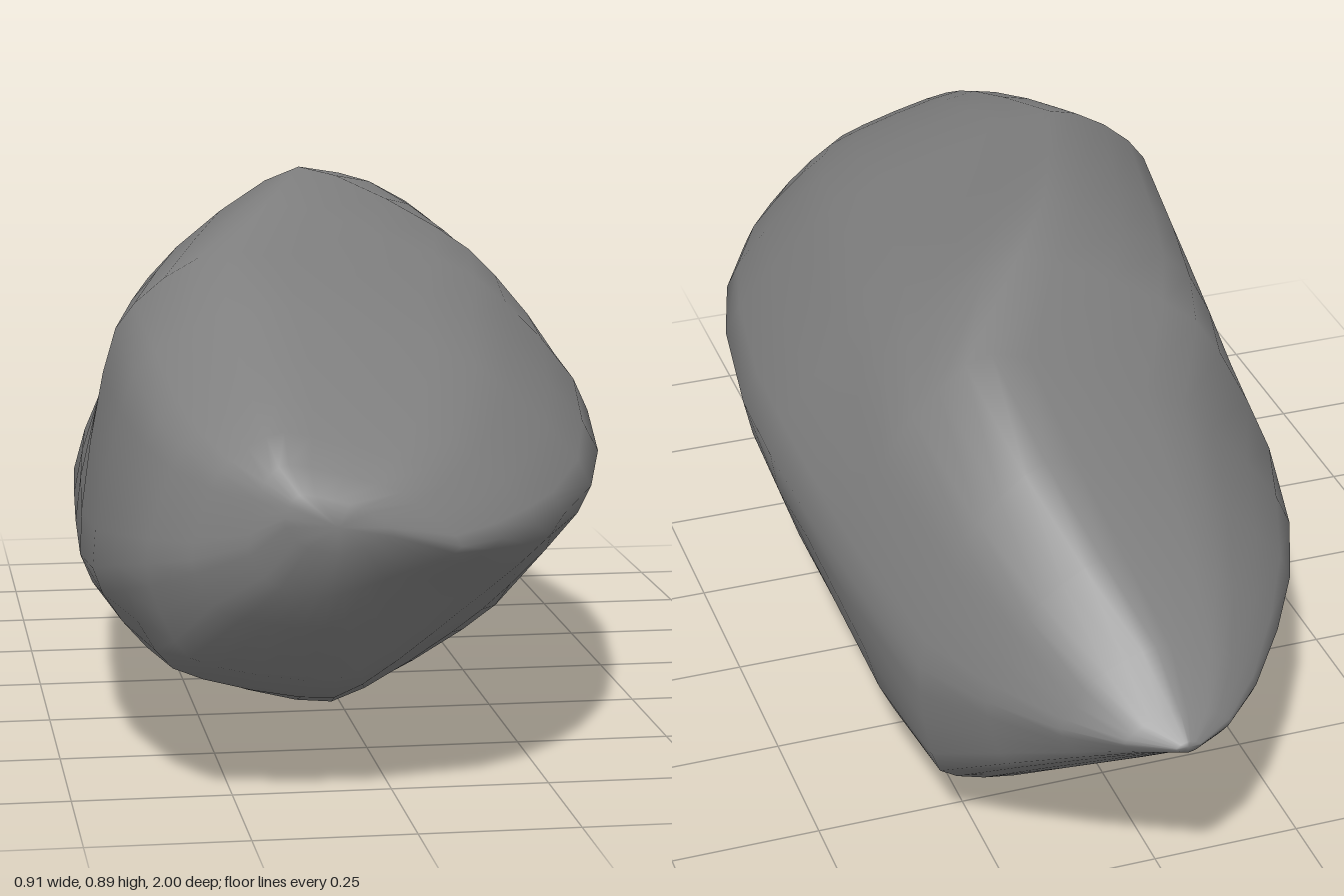
import * as THREE from 'three';

// Cross-sections from front to back:
// z, left edge x,y, right edge x,y, top x,y, bottom x,y (left/right as seen from the front)
const SECTIONS = [
  [1.0, -0.20, 0.48, -0.04, 0.46, -0.17, 0.52, -0.12, 0.43],
  [0.97, -0.25, 0.44, 0.07, 0.43, -0.19, 0.56, -0.13, 0.36],
  [0.92, -0.33, 0.41, 0.14, 0.43, -0.19, 0.60, -0.13, 0.30],
  [0.84, -0.39, 0.39, 0.21, 0.43, -0.19, 0.64, -0.10, 0.20],
  [0.75, -0.425, 0.37, 0.27, 0.43, -0.19, 0.68, -0.09, 0.15],
  [0.58, -0.45, 0.33, 0.35, 0.44, -0.19, 0.745, -0.07, 0.10],
  [0.38, -0.455, 0.31, 0.405, 0.46, -0.21, 0.805, -0.05, 0.05],
  [0.10, -0.442, 0.31, 0.448, 0.48, -0.11, 0.85, -0.03, 0.0],
  [-0.10, -0.43, 0.32, 0.455, 0.49, -0.03, 0.89, 0.0, 0.025],
  [-0.23, -0.42, 0.34, 0.442, 0.47, 0.06, 0.865, 0.03, 0.045],
  [-0.42, -0.36, 0.38, 0.415, 0.44, 0.17, 0.805, 0.08, 0.075],
  [-0.60, -0.285, 0.40, 0.352, 0.36, 0.14, 0.70, 0.15, 0.11],
  [-0.75, -0.20, 0.41, 0.29, 0.38, 0.10, 0.605, 0.12, 0.22],
  [-0.88, -0.11, 0.41, 0.215, 0.40, 0.06, 0.52, 0.08, 0.315],
  [-0.96, -0.035, 0.41, 0.14, 0.41, 0.05, 0.45, 0.05, 0.375],
  [-1.0, 0.03, 0.41, 0.07, 0.41, 0.05, 0.42, 0.05, 0.40],
];
// Fullness of the four shoulders of each section: 0 is a flat chamfer, 1 a square corner
const FULLNESS = {
  topRight: [0.3, 0.3, 0.3, 0.3, 0.3, 0.3, 0.3, 0.28, 0.25, 0.25, 0.3, 0.3, 0.3, 0.3, 0.3, 0.3],
  topLeft: [0.4, 0.4, 0.4, 0.42, 0.45, 0.48, 0.5, 0.4, 0.33, 0.32, 0.25, 0.25, 0.28, 0.3, 0.3, 0.3],
  bottomLeft: [0.4, 0.45, 0.5, 0.55, 0.5, 0.38, 0.32, 0.32, 0.34, 0.36, 0.36, 0.34, 0.32, 0.3, 0.3, 0.3],
  bottomRight: [0.2, 0.1, 0.05, 0.05, 0.08, 0.16, 0.25, 0.36, 0.43, 0.47, 0.56, 0.68, 0.58, 0.45, 0.35, 0.3],
};
const AROUND = 32;

// Shoulder between two neighbouring extremes, pushed out towards their box corner
function shoulder(side, end, fullness) {
  const corner = new THREE.Vector3(side.x, end.y, side.z);
  return side.clone().lerp(end, 0.5).lerp(corner, fullness);
}

function sectionPoints([z, lx, ly, rx, ry, tx, ty, bx, by], i) {
  const left = new THREE.Vector3(lx, ly, z);
  const right = new THREE.Vector3(rx, ry, z);
  const top = new THREE.Vector3(tx, ty, z);
  const bottom = new THREE.Vector3(bx, by, z);
  const curve = new THREE.CatmullRomCurve3([
    right, shoulder(right, top, FULLNESS.topRight[i]),
    top, shoulder(left, top, FULLNESS.topLeft[i]),
    left, shoulder(left, bottom, FULLNESS.bottomLeft[i]),
    bottom, shoulder(right, bottom, FULLNESS.bottomRight[i]),
  ], true, 'catmullrom', 0.3);
  return Array.from({ length: AROUND }, (_, j) => curve.getPoint(j / AROUND));
}

function stoneGeometry() {
  const rings = SECTIONS.map(sectionPoints);
  const points = rings.flat();
  const index = [];
  const last = (rings.length - 1) * AROUND;
  // Skin between neighbouring sections
  for (let i = 0; i < rings.length - 1; i++) {
    for (let j = 0; j < AROUND; j++) {
      const k = (j + 1) % AROUND;
      const a = i * AROUND + j, b = i * AROUND + k;
      index.push(a, a + AROUND, b, b, a + AROUND, b + AROUND);
    }
  }
  // Caps at the blunt nose and the narrow tail
  const nose = points.push(new THREE.Vector3(-0.12, 0.47, 1)) - 1;
  const tail = points.push(new THREE.Vector3(0.05, 0.41, -1)) - 1;
  for (let j = 0; j < AROUND; j++) {
    const k = (j + 1) % AROUND;
    index.push(nose, j, k, tail, last + k, last + j);
  }
  const geometry = new THREE.BufferGeometry().setFromPoints(points);
  geometry.setIndex(index);
  geometry.computeVertexNormals();
  return geometry;
}

export function createModel() {
  const group = new THREE.Group();
  group.name = 'rock';
  const stone = new THREE.Mesh(stoneGeometry(), new THREE.MeshStandardMaterial({ color: 0x808080 }));
  stone.name = 'stone';
  group.add(stone);
  return group;
}
